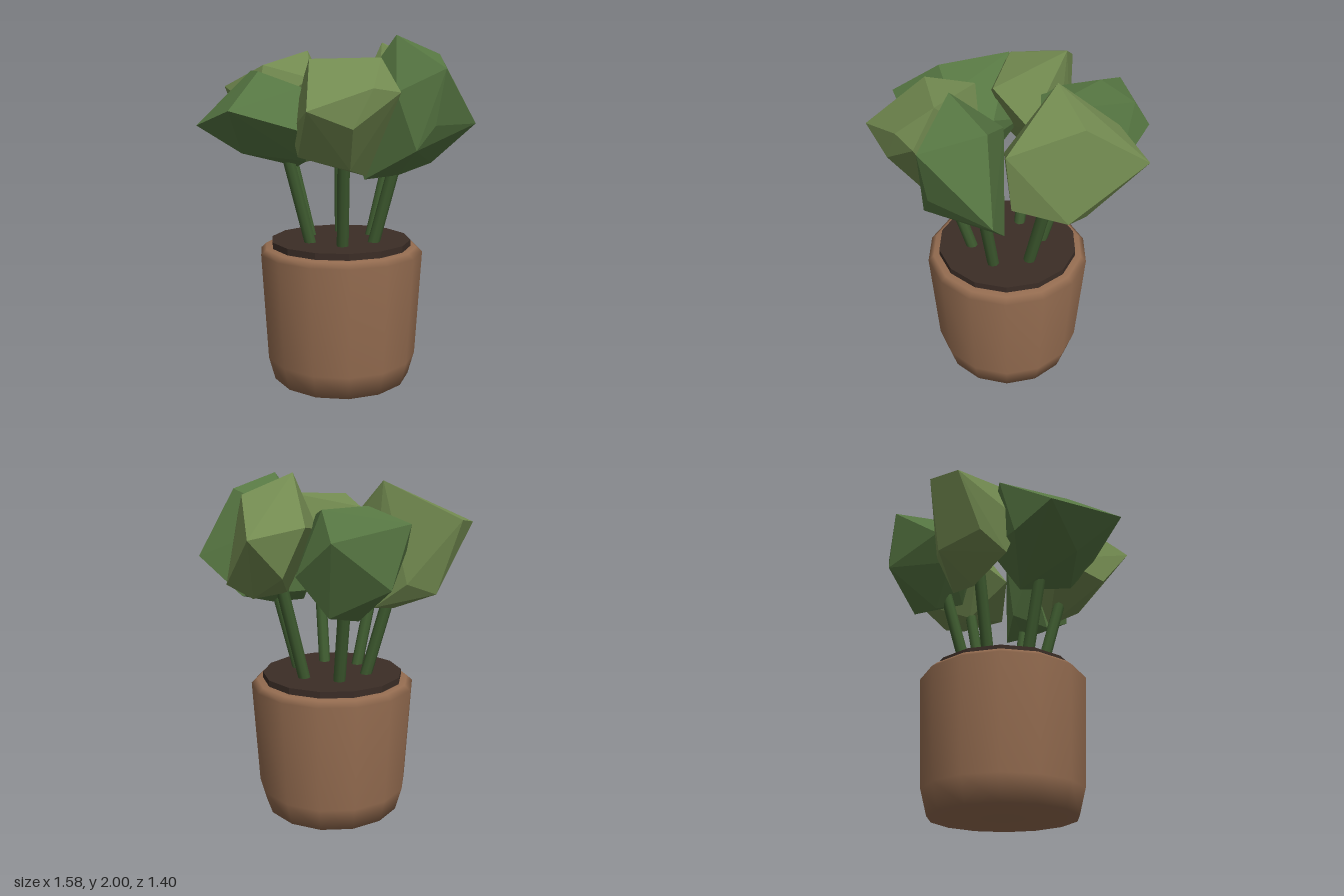
import * as THREE from 'three';
import { ConvexGeometry } from 'three/addons/geometries/ConvexGeometry.js';

const mat = (color, flatShading = false) => new THREE.MeshStandardMaterial({ color, flatShading });
const V = (x, y, z) => new THREE.Vector3(x, y, z);

export function createModel() {
  const plant = new THREE.Group();
  plant.name = 'pottedPlant';
  const add = (name, geometry, material, parent = plant) => {
    const mesh = new THREE.Mesh(geometry, material);
    mesh.name = name;
    parent.add(mesh);
    return mesh;
  };

  // Pot: softly shaded tapered body with bevelled rim and base
  const profile = [[0, 0], [0.415, 0], [0.453, 0.14], [0.488, 0.77], [0.455, 0.8], [0.38, 0.805]];
  const pot = add('pot', new THREE.LatheGeometry(profile.map(([r, y]) => new THREE.Vector2(r, y)), 14), mat(0x946c50));
  pot.position.set(0.013, 0, 0.015);

  // Soil disc standing slightly proud of the rim
  const soil = add('soil', new THREE.CylinderGeometry(0.418, 0.418, 0.05, 14), mat(0x3b2d26, true));
  soil.position.set(0.013, 0.815, 0.015);

  // Six stems leaning outwards in a ring
  const stems = new THREE.Group();
  stems.name = 'stems';
  plant.add(stems);
  const stemMaterial = mat(0x3f5c30);
  for (let i = 0; i < 6; i++) {
    const a = (i * Math.PI) / 3;
    const at = (r, y) => V(0.015 + r * Math.cos(a), y, 0.02 + r * Math.sin(a));
    const path = new THREE.LineCurve3(at(0.21, 0.82), at(0.37, 1.4));
    add('stem', new THREE.TubeGeometry(path, 1, 0.035, 8), stemMaterial, stems);
  }

  // Faceted leaf clumps: each is the hull of a few corner points
  const foliage = new THREE.Group();
  foliage.name = 'foliage';
  plant.add(foliage);
  const light = mat(0x728a50, true);
  const dark = mat(0x567642, true);
  const clump = (name, material, ...corners) =>
    add(name, new ConvexGeometry(corners.map((c) => V(...c))), material, foliage);

  clump('leftClump', light,
    [0.34, 2, -0.04], [0.62, 1.89, 0.03], [0.79, 1.69, -0.25], [0.5, 1.74, -0.33],
    [0.43, 1.77, 0.35], [0.45, 1.47, 0.33], [0.66, 1.42, 0.14], [0.61, 1.36, -0.03],
    [0.6, 1.49, -0.27], [0.17, 1.6, 0.16], [0.19, 1.7, -0.06], [0.36, 1.36, 0]);
  clump('frontLeftClump', dark,
    [0.1, 2, 0.43], [0.4, 1.91, 0.43], [0.22, 1.82, 0.7], [0.2, 1.53, 0.65],
    [0.58, 1.53, 0.54], [0.1, 1.4, 0.62], [0.2, 1.24, 0.33], [-0.03, 1.23, 0.33],
    [0.42, 1.3, 0.35], [0.17, 1.75, 0.16], [-0.07, 1.6, 0.17], [0.01, 1.7, 0.56],
    [0.1, 1.32, 0.16]);
  clump('frontRightClump', light,
    [-0.35, 1.87, 0.29], [-0.01, 1.88, 0.45], [-0.24, 1.8, 0.04], [-0.16, 1.72, 0.6],
    [0.01, 1.7, 0.6], [-0.53, 1.61, 0.58], [-0.28, 1.52, 0.6], [-0.48, 1.38, 0.4],
    [-0.2, 1.3, 0.45], [-0.03, 1.25, 0.35], [-0.05, 1.6, 0.15], [-0.38, 1.5, 0.14]);
  clump('rightClump', dark,
    [-0.79, 1.61, 0.26], [-0.77, 1.52, -0.25], [-0.54, 1.81, 0.08], [-0.4, 1.83, -0.32],
    [-0.42, 1.5, 0.36], [-0.63, 1.38, 0.05], [-0.24, 1.28, -0.05], [-0.13, 1.6, 0],
    [-0.33, 1.73, 0.16], [-0.5, 1.45, -0.29], [-0.2, 1.5, -0.25], [-0.35, 1.34, 0.25],
    [-0.09, 1.5, 0.15]);
  clump('backRightClump', light,
    [0.02, 1.96, -0.39], [-0.26, 1.76, -0.7], [-0.44, 1.74, -0.63], [-0.34, 1.86, -0.28],
    [-0.16, 1.78, -0.02], [0.06, 1.6, -0.1], [-0.4, 1.45, -0.45], [-0.2, 1.36, -0.59],
    [-0.05, 1.42, -0.51], [0.03, 1.28, -0.34], [-0.15, 1.25, -0.32], [-0.4, 1.37, -0.27],
    [-0.43, 1.6, -0.19]);
  clump('backLeftClump', dark,
    [0.21, 1.84, -0.47], [0.49, 1.83, -0.44], [0.52, 1.68, -0.54], [0.14, 1.76, -0.7],
    [0.24, 1.44, -0.67], [0.55, 1.5, -0.31], [0.2, 1.78, -0.06], [-0.04, 1.6, -0.51],
    [-0.05, 1.75, -0.27], [0.4, 1.28, -0.39], [0.17, 1.23, -0.37], [0.3, 1.4, -0.1],
    [-0.02, 1.45, -0.4]);

  return plant;
}
